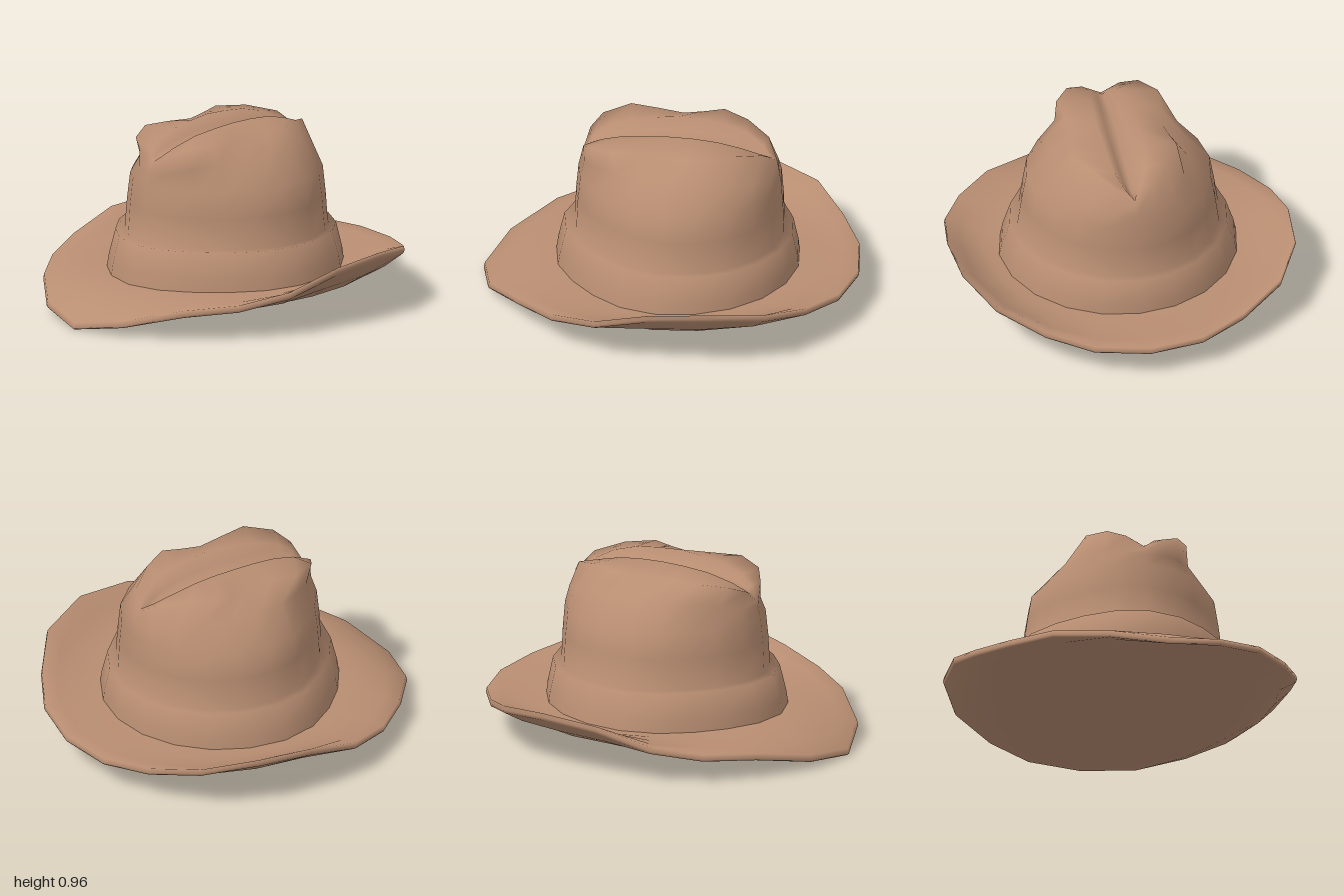
import * as THREE from 'three';
import { mergeVertices } from 'three/addons/utils/BufferGeometryUtils.js';

const KEYS = 10;          // steps from front to back on one side
const N = KEYS * 2;       // points around each ring

// Builds a full ring from a rule for the left half; the right half is mirrored.
function ring(rule) {
  return Array.from({ length: N }, (_, i) => {
    const k = i <= KEYS ? i : N - i;
    const [x, y, z] = rule(k, (k / KEYS) * Math.PI);
    return [i <= KEYS ? x : -x, y, z];
  });
}

// Egg-shaped ring, slimmer at the front corners; y is a rule of the angle.
function egg(rx, front, back, y) {
  const c = (front + back) / 2, rz = (front - back) / 2;
  return ring((k, a) => {
    const slim = Math.cos(a) > 0 ? 1 - 0.06 * Math.sin(2 * a) ** 2 : 1;
    return [rx * Math.sin(a) * slim, y(a), c + rz * Math.cos(a) * slim];
  });
}

// Skins a stack of rings with smooth normals.
function loft(name, rings, material) {
  const geo = new THREE.BufferGeometry();
  geo.setAttribute('position', new THREE.Float32BufferAttribute(rings.flat(2), 3));
  const index = [];
  for (let r = 0; r < rings.length - 1; r++) {
    for (let i = 0; i < N; i++) {
      const a = r * N + i, b = r * N + (i + 1) % N;
      index.push(a, b, b + N, a, b + N, a + N);
    }
  }
  geo.setIndex(index);
  const smooth = mergeVertices(geo);
  smooth.computeVertexNormals();
  const mesh = new THREE.Mesh(smooth, material);
  mesh.name = name;
  return mesh;
}

// Brim edge, front to back
const RIM = [
  [0, 0.035, 1], [0.3, 0.085, 0.92], [0.56, 0.155, 0.72], [0.75, 0.18, 0.5],
  [0.87, 0.23, 0.25], [0.91, 0.32, -0.05], [0.89, 0.345, -0.36], [0.76, 0.305, -0.64],
  [0.53, 0.24, -0.82], [0.29, 0.21, -0.95], [0, 0.205, -1],
];

// Outer shoulder of the crown, front to back
const SHOULDER = [
  [0, 0.785, 0.47], [0.1, 0.86, 0.45], [0.19, 0.9, 0.4], [0.27, 0.925, 0.265],
  [0.25, 0.925, 0.12], [0.24, 0.915, -0.02], [0.26, 0.925, -0.13], [0.28, 0.938, -0.23],
  [0.2, 0.935, -0.37], [0.1, 0.9, -0.5], [0, 0.82, -0.565],
];

// Lip of the lengthwise crease, front to back
const LIP = [
  [0, 0.815, 0.44], [0.04, 0.845, 0.425], [0.07, 0.89, 0.36], [0.09, 0.935, 0.23],
  [0.1, 0.955, 0.1], [0.11, 0.967, -0.02], [0.105, 0.965, -0.14], [0.1, 0.955, -0.26],
  [0.085, 0.925, -0.38], [0.045, 0.875, -0.48], [0, 0.835, -0.54],
];

export function createModel() {
  const hat = new THREE.Group();
  hat.name = 'hat';
  const felt = new THREE.MeshStandardMaterial({ color: 0xb98e72 });

  // Brim: closed underside, thin edge, upturned sides and drooping front
  const inner = egg(0.61, 0.59, -0.66, (a) => 0.188 - 0.008 * Math.cos(a));
  const rim = ring((k) => RIM[k]);
  const brimRing = (t, drop) => inner.map((p, i) => {
    const q = rim[i];
    const edgeY = q[1] + 0.025 * q[0];
    return [
      p[0] + (q[0] - p[0]) * t,
      p[1] + (edgeY - p[1]) * t ** 2.1 - drop,
      p[2] + (q[2] - p[2]) * t,
    ];
  });
  const floorRing = (s) => inner.map(([x, y, z]) => [x * s, 0.115 + (y - 0.18) * s, z * s]);
  hat.add(loft('brim', [
    floorRing(0), floorRing(0.6),
    brimRing(0, 0.065), brimRing(0.35, 0.06), brimRing(0.7, 0.05), brimRing(0.98, 0.038),
    brimRing(1, 0.025), brimRing(0.985, 0),
    brimRing(0.75, 0), brimRing(0.5, 0), brimRing(0.25, 0), brimRing(0, 0),
  ], felt));

  // Crown: flared band with a narrow ledge, tapering wall, shoulders and pinched crease
  const lip = ring((k) => LIP[k]);
  const creaseRing = (w) => lip.map(([x, y, z]) => {
    const zz = z * (0.95 + 0.05 * w);
    const floor = Math.min(0.88 - 0.06 * (zz / 0.45) ** 2, y);
    return [x * w, floor + (y - floor) * w ** 1.3, zz];
  });
  hat.add(loft('crown', [
    egg(0.635, 0.615, -0.68, () => 0.16),
    egg(0.618, 0.602, -0.672, () => 0.25),
    egg(0.575, 0.57, -0.645, () => 0.385),
    egg(0.535, 0.515, -0.6, () => 0.386),
    egg(0.512, 0.508, -0.595, () => 0.55),
    egg(0.488, 0.495, -0.585, () => 0.69),
    egg(0.37, 0.48, -0.575, (a) => 0.825 - 0.07 * Math.cos(a) ** 4),
    ring((k) => SHOULDER[k]), lip, creaseRing(0.5), creaseRing(0),
  ], felt));

  return hat;
}
